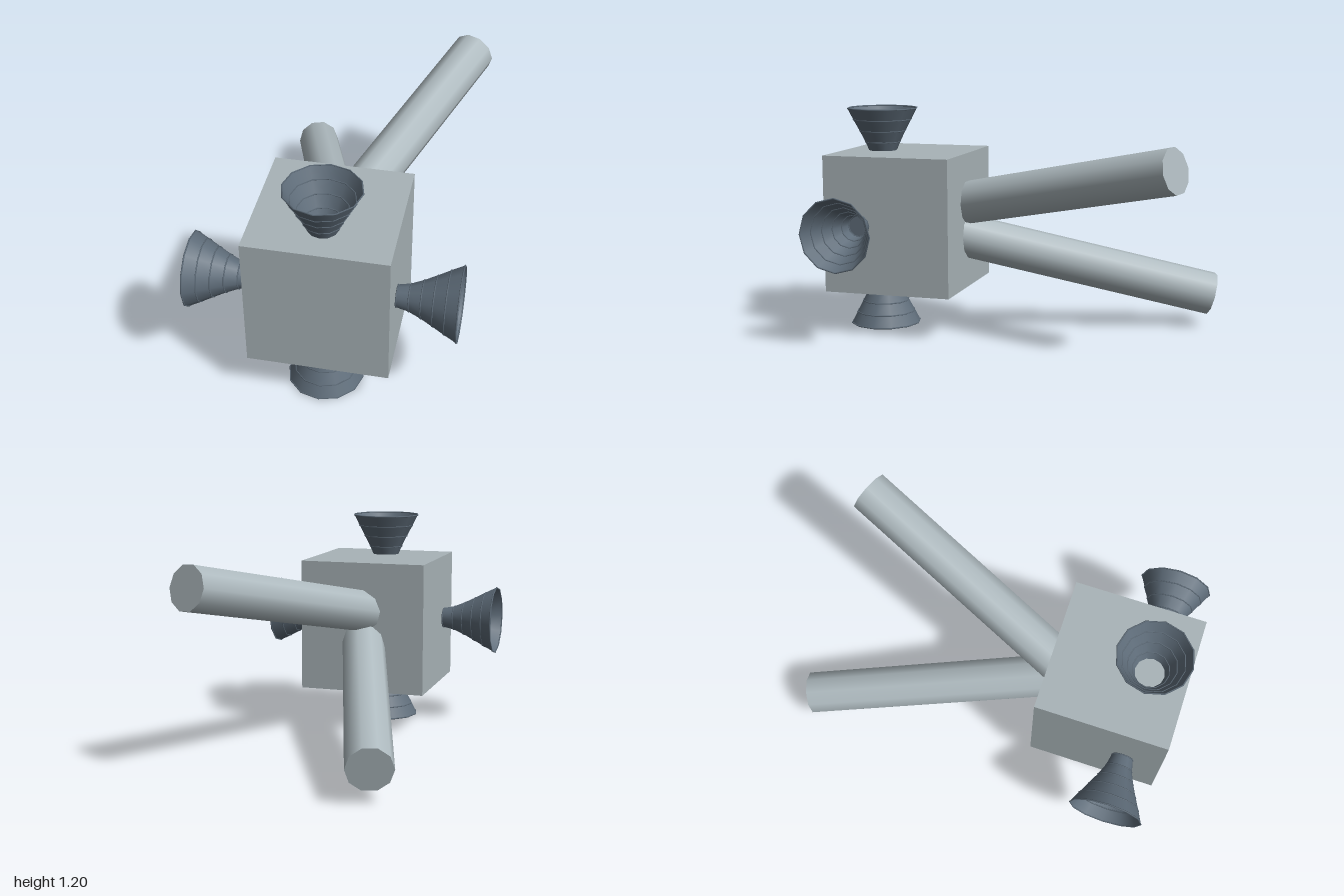
import * as THREE from 'three';

const boxGrey = new THREE.MeshStandardMaterial({ color: 0xa8b3b7 });
boxGrey.name = 'boxGrey';
const tubeGrey = new THREE.MeshStandardMaterial({ color: 0xafbbc0 });
tubeGrey.name = 'tubeGrey';
const hornSlate = new THREE.MeshStandardMaterial({ color: 0x5f6d7a, side: THREE.DoubleSide });
hornSlate.name = 'hornSlate';

function add(parent, name, geometry, material) {
  const mesh = new THREE.Mesh(geometry, material);
  mesh.name = name;
  parent.add(mesh);
  return mesh;
}

// Flared nozzle: the rim lies at y = 0 and the throat points down -y
function makeHorn(name) {
  const horn = new THREE.Group();
  horn.name = name;
  const radii = [0.191, 0.16, 0.127, 0.096, 0.07, 0.057];
  const step = 0.0615, sides = 12;
  radii.forEach((r, i) => {
    const ring = add(horn, 'hornRing', new THREE.TorusGeometry(r, 0.004, 4, sides), hornSlate);
    ring.rotation.x = Math.PI / 2;
    ring.position.y = -i * step - 0.003;
    if (i === radii.length - 1) return;
    const wall = add(horn, 'hornWall',
      new THREE.CylinderGeometry(r, radii[i + 1], step, sides, 1, true), hornSlate);
    wall.position.y = -(i + 0.5) * step - 0.003;
  });
  // closed end of the throat
  const throat = add(horn, 'hornThroat', new THREE.CircleGeometry(0.057, sides), hornSlate);
  throat.rotation.x = -Math.PI / 2;
  throat.position.y = -5 * step - 0.003;
  return horn;
}

// Straight strut between two points
function makeStrut(name, from, to) {
  const a = new THREE.Vector3(...from), b = new THREE.Vector3(...to);
  const dir = b.clone().sub(a);
  const strut = new THREE.Mesh(new THREE.CylinderGeometry(0.118, 0.118, dir.length(), 10), tubeGrey);
  strut.name = name;
  strut.position.copy(a).add(b).multiplyScalar(0.5);
  strut.quaternion.setFromUnitVectors(new THREE.Vector3(0, 1, 0), dir.normalize());
  return strut;
}

export function createModel() {
  const model = new THREE.Group();
  model.name = 'thrusterBlock';

  // central housing
  const housing = add(model, 'housing', new THREE.BoxGeometry(0.71, 0.732, 0.695), boxGrey);
  housing.position.set(0, 0.601, 0.6525);

  // four nozzles around the z axis: left, top, right, bottom
  const names = ['leftHorn', 'topHorn', 'rightHorn', 'bottomHorn'];
  names.forEach((name, i) => {
    const angle = i * Math.PI / 2;
    const reach = i % 2 ? 0.6 : 0.67;
    const horn = makeHorn(name);
    horn.position.set(Math.cos(angle) * reach, 0.6 + Math.sin(angle) * reach, 0.8);
    horn.rotation.z = angle - Math.PI / 2;
    model.add(horn);
  });

  // two mounting struts splayed out to the rear
  model.add(makeStrut('upperStrut', [-0.02, 0.678, 0.4], [0.505, 0.967, -0.893]));
  model.add(makeStrut('lowerStrut', [0.018, 0.532, 0.4], [-0.427, 0.175, -0.96]));

  return model;
}
